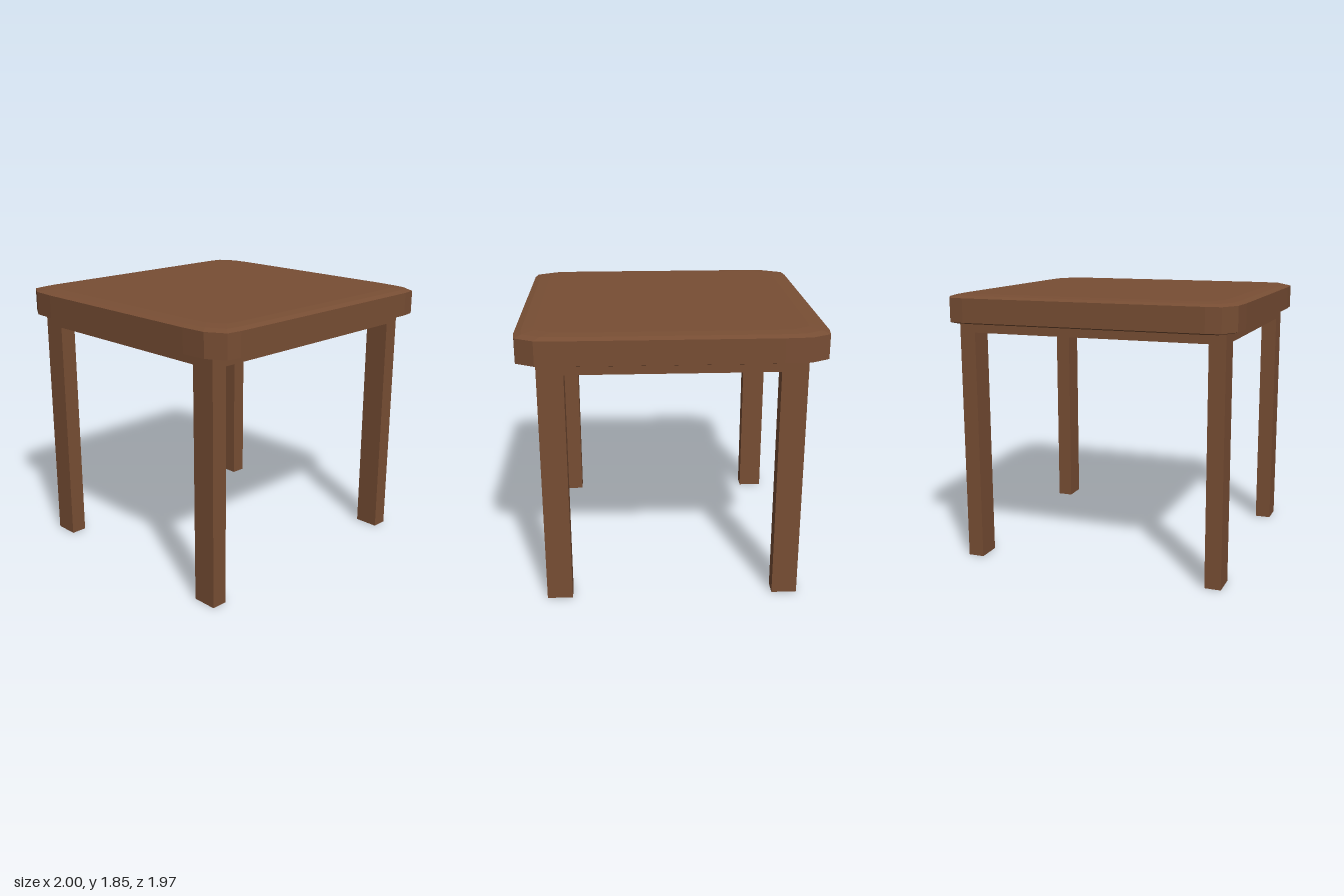
import * as THREE from 'three';

// Closed solid skinned over horizontal rings; each ring is [y, inset]
function loftRings(outline, rings) {
  const n = outline.length, positions = [], index = [];
  for (const [y, inset] of rings) {
    for (const [x, z] of outline) positions.push(x * (1 - inset), y, z * (1 - inset));
  }
  for (let r = 0; r < rings.length - 1; r++) {
    for (let i = 0; i < n; i++) {
      const a = r * n + i, b = r * n + (i + 1) % n;
      index.push(a, a + n, b, b, a + n, b + n);
    }
  }
  const last = (rings.length - 1) * n;
  for (let i = 1; i < n - 1; i++) {
    index.push(0, i, i + 1); // underside
    index.push(last, last + i + 1, last + i); // top
  }
  const geometry = new THREE.BufferGeometry();
  geometry.setAttribute('position', new THREE.Float32BufferAttribute(positions, 3));
  geometry.setIndex(index);
  const flat = geometry.toNonIndexed();
  flat.computeVertexNormals();
  return flat;
}

export function createModel() {
  const model = new THREE.Group();
  model.name = 'stool';
  const wood = new THREE.MeshStandardMaterial({ color: 0x784e34, flatShading: true });
  wood.name = 'brown wood';

  const add = (name, geometry, x = 0, y = 0, z = 0) => {
    const mesh = new THREE.Mesh(geometry, wood);
    mesh.name = name;
    mesh.position.set(x, y, z);
    model.add(mesh);
  };

  // Seat: square with clipped corners, softly bevelled above and below
  const corner = [[1, 0.68], [0.99, 0.85], [0.92, 0.972], [0.82, 0.985]];
  const back = [...corner].reverse();
  const outline = [
    ...corner,
    ...back.map(([x, z]) => [-x, z]),
    ...corner.map(([x, z]) => [-x, -z]),
    ...back.map(([x, z]) => [x, -z]),
  ];
  add('seat', loftRings(outline, [
    [1.66, 0.03], [1.67, 0], [1.83, 0], [1.843, 0.045], [1.85, 0.12],
  ]));

  // Slab under the seat, flush with the outside of the legs
  add('apron', new THREE.BoxGeometry(1.84, 0.08, 1.7), 0, 1.63, 0);

  // Four rectangular legs
  for (const sx of [-1, 1]) {
    for (const sz of [-1, 1]) {
      const name = (sz > 0 ? 'front' : 'back') + (sx > 0 ? 'Left' : 'Right') + 'Leg';
      add(name, new THREE.BoxGeometry(0.11, 1.59, 0.17), sx * 0.865, 0.795, sz * 0.765);
    }
  }
  return model;
}
